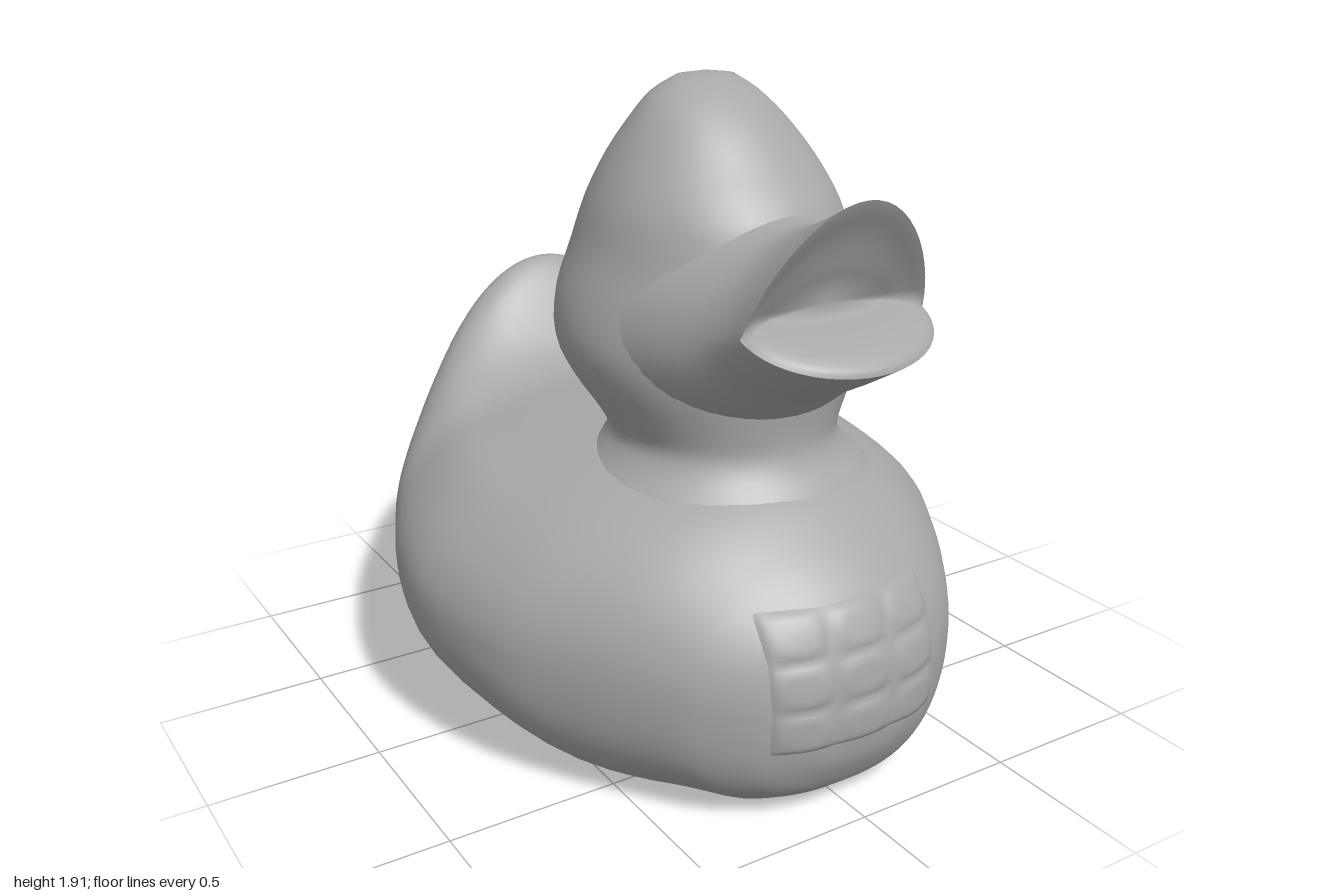
import * as THREE from 'three';
import { toCreasedNormals } from 'three/addons/utils/BufferGeometryUtils.js';

const rubber = new THREE.MeshStandardMaterial({ color: 0xa8a8a8 });
rubber.name = 'grey rubber';
const { smoothstep } = THREE.MathUtils;

// Smoothly resample rows of numbers (uniform Catmull-Rom on each column)
function resample(rows, steps) {
  const out = [];
  const at = i => rows[Math.min(rows.length - 1, Math.max(0, i))];
  for (let i = 0; i < rows.length - 1; i++) {
    for (let s = 0; s < steps; s++) {
      const t = s / steps;
      out.push(rows[i].map((_, k) => {
        const [a, b, c, d] = [at(i - 1)[k], at(i)[k], at(i + 1)[k], at(i + 2)[k]];
        return b + 0.5 * t * (c - a + t * (2 * a - 5 * b + 4 * c - d + t * (3 * (b - c) + d - a)));
      }));
    }
  }
  out.push(rows[rows.length - 1]);
  return out;
}

// Skin closed rings of points; optional end points close the ends
function loft(rings, start, end) {
  const n = rings[0].length, pos = rings.flat(2), index = [];
  for (let i = 0; i < rings.length - 1; i++) {
    for (let j = 0; j < n; j++) {
      const a = i * n + j, b = i * n + (j + 1) % n;
      index.push(a, a + n, b, b, a + n, b + n);
    }
  }
  const cap = (p, row, flip) => {
    const c = pos.length / 3;
    pos.push(...p);
    for (let j = 0; j < n; j++) {
      const a = row * n + j, b = row * n + (j + 1) % n;
      index.push(c, flip ? b : a, flip ? a : b);
    }
  };
  if (start) cap(start, 0, false);
  if (end) cap(end, rings.length - 1, true);
  const g = new THREE.BufferGeometry();
  g.setAttribute('position', new THREE.Float32BufferAttribute(pos, 3));
  g.setIndex(index);
  g.computeVertexNormals();
  return g;
}

const ring = (n, fn) => Array.from({ length: n }, (_, j) => fn(j / n * Math.PI * 2));
const signedPow = (v, p) => Math.sign(v) * Math.abs(v) ** p;
const bell = (v, centre, width) => Math.exp(-(((v - centre) / width) ** 2));

// Body slices, chest to tail: z, half width, base y, widest y, top y
const bodyRows = [
  [0.982, 0.06, 0.26, 0.33, 0.39], [0.968, 0.17, 0.19, 0.34, 0.48], [0.94, 0.25, 0.13, 0.35, 0.56],
  [0.9, 0.33, 0.07, 0.37, 0.63], [0.84, 0.41, 0.03, 0.38, 0.69], [0.78, 0.47, 0.01, 0.39, 0.74],
  [0.65, 0.57, 0.033, 0.4, 0.83], [0.5, 0.67, 0.06, 0.41, 0.88], [0.3, 0.78, 0.095, 0.43, 0.9],
  [0, 0.845, 0.15, 0.45, 0.9], [-0.25, 0.81, 0.195, 0.47, 0.9], [-0.45, 0.735, 0.23, 0.5, 0.905],
  [-0.58, 0.67, 0.253, 0.53, 0.98], [-0.68, 0.6, 0.27, 0.57, 1.08], [-0.76, 0.53, 0.285, 0.6, 1.17],
  [-0.83, 0.45, 0.3, 0.63, 1.2], [-0.89, 0.36, 0.34, 0.66, 1.13], [-0.94, 0.26, 0.43, 0.69, 1.01],
  [-0.98, 0.15, 0.55, 0.71, 0.86], [-0.995, 0.07, 0.65, 0.72, 0.79],
];

function bodyGeometry() {
  const rings = resample(bodyRows, 3).map(([z, w, base, mid, top]) => {
    const taper = 0.15 * smoothstep(-z, 0.5, 0.8);
    const flat = 0.36 * smoothstep(z, -0.88, -0.6) * (1 - smoothstep(z, 0.4, 0.82));
    return ring(72, t => {
      const c = Math.cos(t), s = Math.sin(t);
      if (s >= 0) {
        // soft wing ridge along each side, hollow in front of the tail
        const ridge = 0.02 * bell(Math.abs(c), 0.72, 0.1) * bell(z, -0.25, 0.3);
        const x = w * c * (1 - taper * s);
        const hollow = 0.045 * bell(x, 0, 0.27) * bell(z, -0.6, 0.13);
        return [x, mid + (top - mid) * s + ridge - hollow, z];
      }
      // lower half cut off by the flat sloping base
      const y = mid + (mid - base) * (1 + flat) * signedPow(s, 2 / 2.6);
      return [w * signedPow(c, 2 / 2.6), Math.max(base, y), z];
    });
  });
  return toCreasedNormals(loft(rings, [0, 0.33, 0.988], [0, 0.72, -1]), 0.7);
}

// Head and neck rings, bottom to top: y, left x, right x, back z, front z
const headRows = [
  [0.74, -0.46, 0.5, -0.16, 0.72], [0.82, -0.395, 0.435, -0.13, 0.665], [0.87, -0.345, 0.385, -0.11, 0.625],
  [0.93, -0.31, 0.35, -0.09, 0.6], [1.0, -0.34, 0.38, -0.12, 0.6], [1.1, -0.4, 0.445, -0.19, 0.61],
  [1.2, -0.435, 0.48, -0.235, 0.61], [1.32, -0.42, 0.465, -0.255, 0.61], [1.45, -0.37, 0.415, -0.24, 0.61],
  [1.58, -0.33, 0.37, -0.19, 0.57], [1.7, -0.27, 0.315, -0.12, 0.47], [1.8, -0.205, 0.24, -0.04, 0.38],
  [1.87, -0.14, 0.175, 0.02, 0.29], [1.912, -0.06, 0.115, 0.075, 0.21],
];

function headGeometry() {
  const rings = resample(headRows, 3).map(([y, x0, x1, z0, z1]) => ring(56, t => [
    (x0 + x1) / 2 + (x1 - x0) / 2 * Math.cos(t), y, (z0 + z1) / 2 + (z1 - z0) / 2 * Math.sin(t)]));
  return loft(rings, null, [0.03, 1.923, 0.14]);
}

// Beak rings: half width, corner y, corner z, top y, top z, bottom y, bottom z
const beakOuter = [
  [0.42, 1.29, 0.33, 1.63, 0.4, 0.98, 0.5], [0.37, 1.3, 0.47, 1.59, 0.55, 1.04, 0.6],
  [0.315, 1.32, 0.6, 1.585, 0.66, 1.12, 0.71], [0.295, 1.33, 0.69, 1.63, 0.77, 1.19, 0.84],
  [0.295, 1.345, 0.76, 1.685, 0.875, 1.255, 0.95],
];
const beakInner = [
  [0.295, 1.345, 0.76, 1.685, 0.875, 1.255, 0.95], [0.275, 1.36, 0.755, 1.655, 0.86, 1.285, 0.935],
  [0.24, 1.37, 0.74, 1.58, 0.815, 1.33, 0.85], [0.18, 1.375, 0.72, 1.48, 0.77, 1.36, 0.76],
];

function beakGeometry(rows, end) {
  const rings = resample(rows, 3).map(([w, cy, cz, ty, tz, by, bz]) => ring(48, t => {
    const s = Math.sin(-t), k = Math.abs(s);
    const [y, z] = s > 0 ? [ty, tz] : [by, bz];
    const narrow = 1 - 0.17 * Math.max(0, s);
    return [0.025 + w * narrow * Math.cos(t), cy + (y - cy) * k, cz + (z - cz) * k];
  }));
  return loft(rings, null, end);
}

// Raised soft tiles in three rows and columns, wrapped onto the chest
function chestPanelGeometry(body) {
  const g = new THREE.PlaneGeometry(0.56, 0.39, 36, 30);
  const p = g.attributes.position, ray = new THREE.Raycaster();
  for (let i = 0; i < p.count; i++) {
    const u = p.getX(i) / 0.56 + 0.5, v = p.getY(i) / 0.39 + 0.5;
    const x = p.getX(i), y = p.getY(i) + 0.44;
    ray.set(new THREE.Vector3(x, y, 2), new THREE.Vector3(0, 0, -1));
    const hit = ray.intersectObject(body)[0];
    const tile = Math.min(1, 2 * Math.abs(Math.sin(u * 3 * Math.PI) * Math.sin(v * 3 * Math.PI)));
    const edge = Math.min(u, v, 1 - u, 1 - v) < 0.01;
    p.setXYZ(i, x, y, (hit ? hit.point.z : 0.9) + (edge ? -0.01 : 0.003 + 0.009 * tile));
  }
  g.computeVertexNormals();
  return g;
}

export function createModel() {
  const duck = new THREE.Group();
  duck.name = 'bathDuck';
  const add = (name, geometry) => {
    const mesh = new THREE.Mesh(geometry, rubber);
    mesh.name = name;
    duck.add(mesh);
    return mesh;
  };

  const body = add('body', bodyGeometry());
  add('head', headGeometry());
  add('beak', beakGeometry(beakOuter, null));
  add('mouth', beakGeometry(beakInner, [0.025, 1.39, 0.72]));
  add('chestPanel', chestPanelGeometry(body));

  // Little air plug under the base
  const plug = add('airPlug', new THREE.SphereGeometry(0.06, 16, 10));
  plug.scale.y = 0.12;
  plug.position.set(0, 0.157, -0.03);
  plug.rotation.x = 0.176;
  return duck;
}
